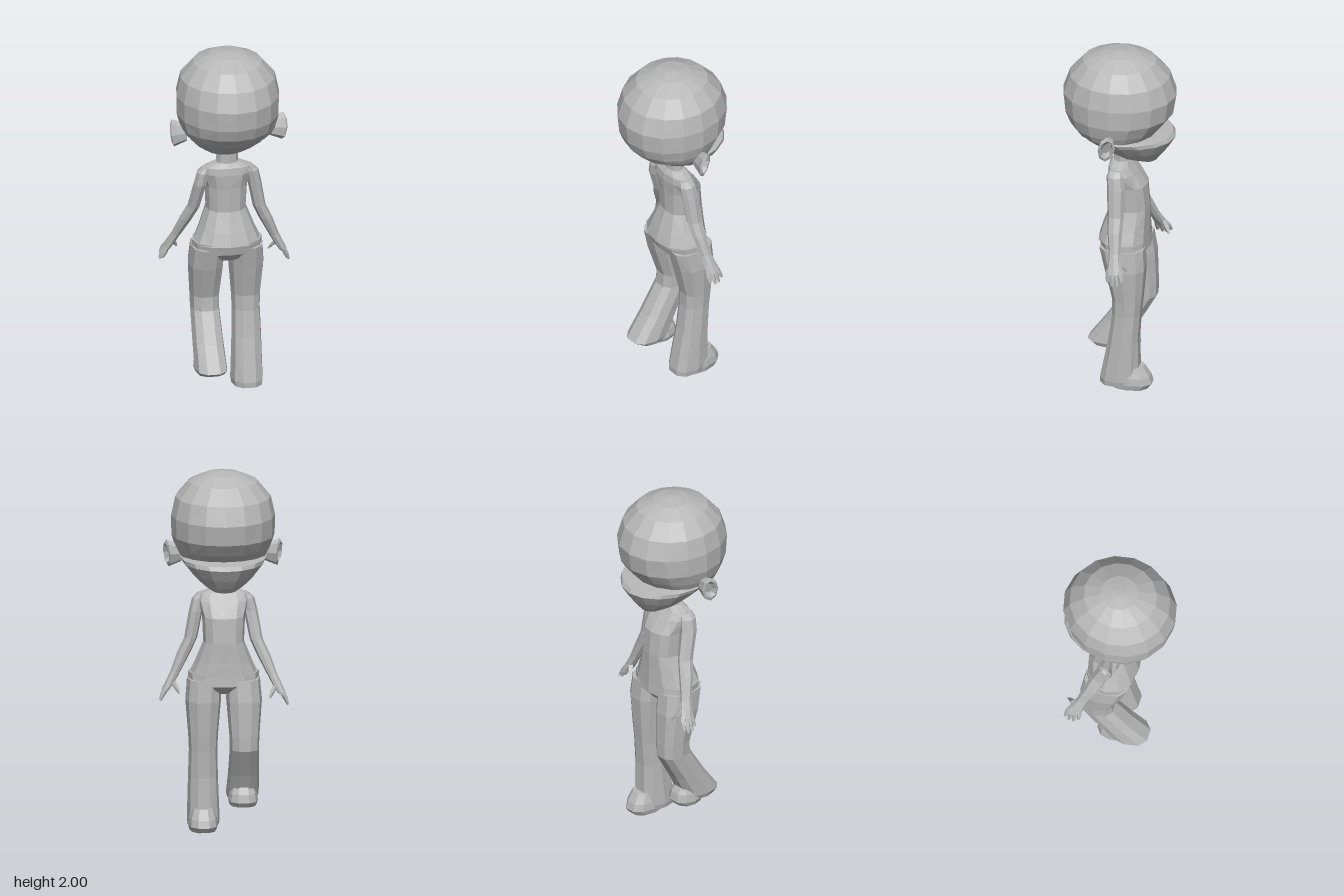
import * as THREE from 'three';

const clay = new THREE.MeshStandardMaterial({ color: 0xb8b8b8 });
clay.name = 'clay grey';

// Horizontal rounded ring: centre x, height, half width, back z, front z
function ring(n, [cx, y, rx, zb, zf], p = 1, turn = 0) {
  const pts = [], cz = (zb + zf) / 2, rz = (zb - zf) / 2;
  const bend = (v) => Math.sign(v) * Math.abs(v) ** p;
  for (let i = 0; i < n; i++) {
    const a = ((i + turn) / n) * Math.PI * 2;
    pts.push([cx + rx * bend(Math.cos(a)), y, cz + rz * bend(Math.sin(a))]);
  }
  return pts;
}

// Faceted skin over rings, closed at both ends
function loft(name, rings) {
  const pos = [], n = rings[0].length;
  const tri = (a, b, c) => pos.push(...a, ...b, ...c);
  const mid = (r) => [0, 1, 2].map((k) => r.reduce((s, p) => s + p[k], 0) / n);
  const first = rings[0], last = rings[rings.length - 1];
  const m0 = mid(first), m1 = mid(last);
  for (let j = 0; j < n; j++) {
    const k = (j + 1) % n;
    tri(m0, first[j], first[k]);
    tri(m1, last[k], last[j]);
    for (let i = 0; i + 1 < rings.length; i++) {
      const A = rings[i], B = rings[i + 1];
      if ((i + j) % 2) {
        tri(A[j], B[j], A[k]);
        tri(A[k], B[j], B[k]);
      } else {
        tri(A[j], B[j], B[k]);
        tri(A[j], B[k], A[k]);
      }
    }
  }
  const g = new THREE.BufferGeometry();
  g.setAttribute('position', new THREE.Float32BufferAttribute(pos, 3));
  g.computeVertexNormals();
  const mesh = new THREE.Mesh(g, clay);
  mesh.name = name;
  return mesh;
}

const body = (name, n, rows, p, turn) => loft(name, rows.map((r) => ring(n, r, p, turn)));

// Thin tapered finger from a knuckle down to its tip
const finger = (name, [x, y, z], [tx, ty, tz]) => body(name, 4, [
  [tx, ty, 0.006, tz + 0.008, tz - 0.008],
  [(x + tx) / 2, (y + ty) / 2, 0.014, (z + tz) / 2 + 0.015, (z + tz) / 2 - 0.015],
  [x, y, 0.016, z + 0.016, z - 0.016],
]);

// Cupped ear: [x, half depth, half height], leaning outwards at the back
function ear(side) {
  const rows = [[0.23, 0.025, 0.05], [0.275, 0.036, 0.066], [0.305, 0.046, 0.078],
    [0.312, 0.034, 0.058], [0.285, 0.02, 0.036]];
  const rings = rows.map(([x, rz, ry], i) => {
    const pts = [];
    for (let k = 0; k < 8; k++) {
      const a = (k / 8) * Math.PI * 2, c = Math.cos(a), s = Math.sin(a);
      const lean = i < 1 ? 0 : 0.014 * c + 0.006 * s;
      pts.push([side * (x + lean), 1.54 + ry * s, 0.008 + rz * c - 0.008 * s]);
    }
    return side > 0 ? pts : pts.reverse();
  });
  return loft(side > 0 ? 'leftEar' : 'rightEar', rings);
}

export function createModel() {
  const model = new THREE.Group();
  model.name = 'figure';

  // Head with the muzzle ledge on the -z side
  model.add(body('head', 16, [
    [0, 1.36, 0.06, -0.10, -0.21],
    [0, 1.39, 0.115, 0.02, -0.235],
    [0, 1.44, 0.17, 0.115, -0.272],
    [0, 1.505, 0.225, 0.215, -0.312],
    [0, 1.528, 0.238, 0.235, -0.297],
    [0, 1.535, 0.242, 0.24, -0.21],
    [0, 1.575, 0.262, 0.275, -0.245],
    [0, 1.645, 0.283, 0.305, -0.297],
    [0, 1.755, 0.285, 0.317, -0.315],
    [0, 1.86, 0.262, 0.28, -0.278],
    [0, 1.945, 0.19, 0.205, -0.2],
    [0, 1.987, 0.1, 0.1, -0.105],
    [0, 2.0, 0.02, 0.02, -0.02],
  ]));
  model.add(ear(1), ear(-1));

  // Neck, shirt and pelvis
  model.add(body('neck', 8, [
    [0, 1.3, 0.085, 0.05, -0.08],
    [0, 1.34, 0.062, 0.035, -0.06],
    [0, 1.43, 0.058, 0.035, -0.065],
  ]));
  model.add(body('torso', 12, [
    [0, 0.875, 0.188, 0.113, -0.17],
    [0, 0.95, 0.155, 0.09, -0.168],
    [0, 1.06, 0.112, 0.05, -0.168],
    [0, 1.2, 0.118, 0.055, -0.155],
    [0, 1.28, 0.14, 0.06, -0.1],
    [0, 1.32, 0.13, 0.055, -0.07],
    [0, 1.345, 0.07, 0.04, -0.055],
  ], 0.85));
  model.add(body('pelvis', 12, [
    [0, 0.775, 0.12, 0.05, -0.13],
    [0, 0.82, 0.195, 0.09, -0.172],
    [0, 0.885, 0.195, 0.108, -0.168],
  ], 0.85));

  // Standing leg and its shoe
  model.add(body('leftLeg', 10, [
    [0.11, 0.02, 0.085, 0.083, -0.13],
    [0.11, 0.05, 0.09, 0.085, -0.14],
    [0.113, 0.3, 0.082, 0.035, -0.135],
    [0.113, 0.45, 0.078, 0.015, -0.145],
    [0.113, 0.54, 0.082, 0.015, -0.155],
    [0.112, 0.73, 0.098, 0.06, -0.172],
    [0.105, 0.85, 0.095, 0.09, -0.165],
  ], 0.8));
  model.add(body('leftShoe', 10, [
    [0.115, 0.005, 0.075, 0.02, -0.19],
    [0.115, 0.035, 0.082, 0.03, -0.213],
    [0.115, 0.075, 0.078, 0.02, -0.2],
    [0.115, 0.13, 0.06, -0.01, -0.165],
  ], 0.85));

  // Stepping leg, shin swept back, and its shoe
  model.add(body('rightLeg', 10, [
    [-0.11, 0.14, 0.08, 0.17, 0.0],
    [-0.11, 0.165, 0.09, 0.205, -0.03],
    [-0.112, 0.3, 0.085, 0.105, -0.095],
    [-0.112, 0.46, 0.08, 0.005, -0.187],
    [-0.112, 0.54, 0.083, 0.0, -0.188],
    [-0.112, 0.73, 0.098, 0.06, -0.182],
    [-0.105, 0.85, 0.095, 0.09, -0.165],
  ], 0.8));
  model.add(body('rightShoe', 10, [
    [-0.11, 0.118, 0.072, 0.08, -0.07],
    [-0.11, 0.145, 0.082, 0.1, -0.09],
    [-0.11, 0.19, 0.075, 0.08, -0.08],
    [-0.11, 0.24, 0.055, 0.06, -0.05],
  ], 0.85));

  // Arms: the left hangs straight, the right swings towards -z
  for (const side of [1, -1]) {
    const label = side > 0 ? 'left' : 'right';
    const swing = side > 0 ? 0.015 : 0.14;
    const shift = (y) => -swing * Math.max(0, (1.22 - y) / 0.42);
    const rows = [
      [0.315, 0.785, 0.022, 0.02, -0.07],
      [0.29, 0.83, 0.026, 0.017, -0.058],
      [0.262, 0.885, 0.028, 0.015, -0.05],
      [0.215, 0.99, 0.037, 0.03, -0.052],
      [0.178, 1.07, 0.036, 0.035, -0.055],
      [0.15, 1.22, 0.038, 0.04, -0.06],
      [0.135, 1.29, 0.036, 0.045, -0.05],
      [0.12, 1.318, 0.02, 0.035, -0.04],
    ];
    model.add(body(label + 'Arm', 8, rows.map(([x, y, rx, zb, zf]) =>
      [side * x, y, rx, zb + shift(y), zf + shift(y)])));

    const hand = new THREE.Group();
    hand.name = label + 'Hand';
    const z0 = shift(0.79);
    [[0.01, 0.335, 0.74], [-0.016, 0.347, 0.725], [-0.042, 0.346, 0.724], [-0.066, 0.338, 0.745]]
      .forEach(([dz, tx, ty], i) => hand.add(finger('finger' + (i + 1),
        [side * 0.313, 0.8, z0 + dz * 0.75], [side * tx, ty, z0 + dz])));
    hand.add(finger('thumb', [side * 0.278, 0.83, z0 - 0.035], [side * 0.245, 0.77, z0 - 0.075]));
    model.add(hand);
  }
  return model;
}
